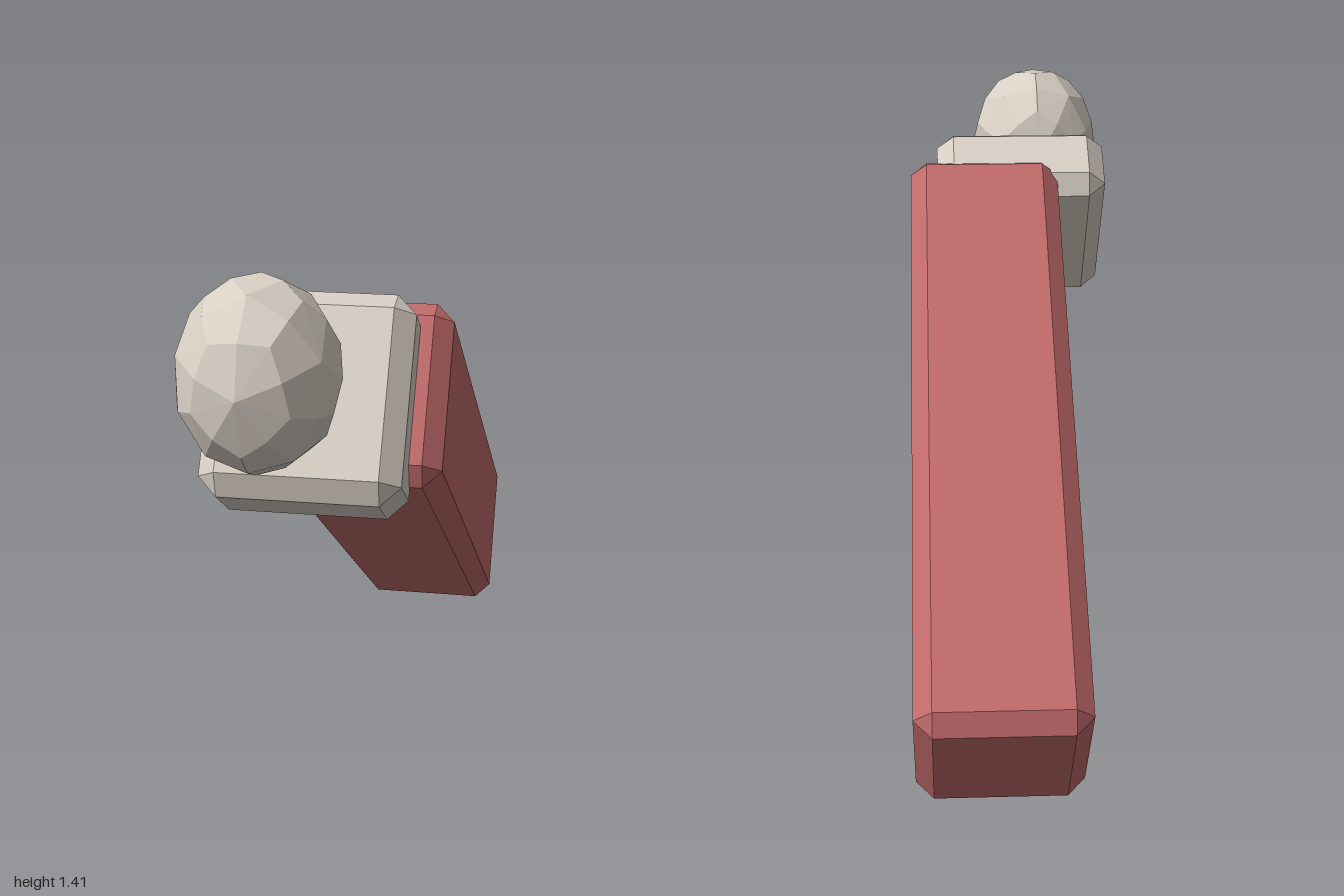
import * as THREE from 'three';
import { ConvexGeometry } from 'three/addons/geometries/ConvexGeometry.js';

// Box with chamfered edges and corners, w x h x d overall
function chamferBox(w, h, d, b) {
  const pts = [];
  for (const sx of [-1, 1]) for (const sy of [-1, 1]) for (const sz of [-1, 1]) {
    for (let full = 0; full < 3; full++) {
      const p = [w / 2 - b, h / 2 - b, d / 2 - b];
      p[full] += b;
      pts.push(new THREE.Vector3(sx * p[0], sy * p[1], sz * p[2]));
    }
  }
  return new ConvexGeometry(pts);
}

// Faceted ball: every icosahedron triangle is split into three four-sided facets
function facetBall(rx, ry, rz) {
  const src = new THREE.IcosahedronGeometry(1, 0).attributes.position;
  const out = [];
  for (let i = 0; i < src.count; i += 3) {
    const v = [0, 1, 2].map((k) => new THREE.Vector3().fromBufferAttribute(src, i + k));
    const c = v[0].clone().add(v[1]).add(v[2]).normalize();
    const m = v.map((p, k) => p.clone().add(v[(k + 1) % 3]).normalize());
    for (let k = 0; k < 3; k++) {
      const prev = m[(k + 2) % 3];
      for (const p of [v[k], m[k], c, v[k], c, prev]) out.push(p.x * rx, p.y * ry, p.z * rz);
    }
  }
  const g = new THREE.BufferGeometry();
  g.setAttribute('position', new THREE.Float32BufferAttribute(out, 3));
  g.computeVertexNormals();
  return g;
}

export function createModel() {
  const group = new THREE.Group();
  group.name = 'arm';
  const red = new THREE.MeshStandardMaterial({ color: 0xc06a6a });
  red.name = 'dusty red';
  const cream = new THREE.MeshStandardMaterial({ color: 0xd8cfc4 });
  cream.name = 'cream';

  // All parts share the tilt of the raised arm
  const add = (name, geometry, material, x, y, z) => {
    const mesh = new THREE.Mesh(geometry, material);
    mesh.name = name;
    mesh.position.set(x, y, z);
    mesh.rotation.set(THREE.MathUtils.degToRad(-34), THREE.MathUtils.degToRad(3.9), 0, 'YXZ');
    group.add(mesh);
  };

  add('sleeve', chamferBox(0.395, 0.435, 1.655, 0.042), red, 0.02, 0.62, -0.208);
  add('cuff', chamferBox(0.455, 0.485, 0.225, 0.045), cream, -0.032, 1.05, 0.522);
  add('hand', facetBall(0.178, 0.212, 0.21), cream, -0.072, 1.2, 0.795);
  return group;
}
